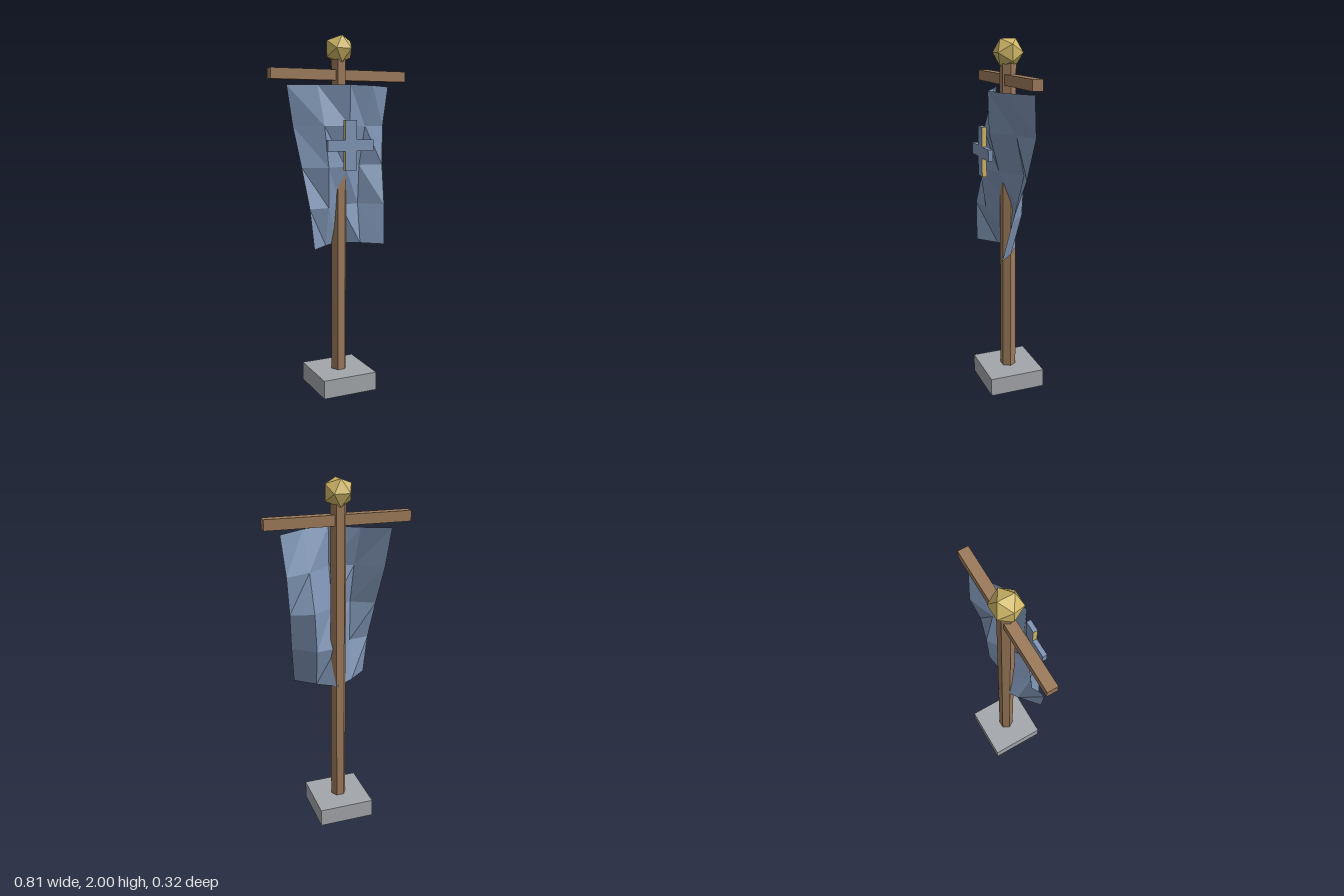
import * as THREE from 'three';

const mat = (name, color, side = THREE.FrontSide) => {
  const m = new THREE.MeshStandardMaterial({ color, side });
  m.name = name;
  return m;
};

// Rippling cloth: a tapered 4 x 4 sheet folded by a diagonal wave
function clothGeometry() {
  const N = 4, top = 1.732, height = 0.888, middle = 0.015;
  const geo = new THREE.PlaneGeometry(1, 1, N, N).rotateY(Math.PI);
  const p = geo.attributes.position;
  for (let i = 0; i < p.count; i++) {
    const u = p.getX(i);            // -0.5 .. 0.5 across
    const v = 0.5 - p.getY(i);      // 0 at the top, 1 at the bottom
    const width = 0.614 - 0.184 * v;
    const phase = THREE.MathUtils.degToRad(-90 + 80 * (u + 0.5) * N + 50 * v * N);
    p.setXYZ(i, middle + u * width, top - v * height, 0.042 + 0.084 * Math.sin(phase));
  }
  const flat = geo.toNonIndexed();
  flat.computeVertexNormals();
  return flat;
}

export function createModel() {
  const stone = mat('stone', 0xa3a6aa);
  const wood = mat('wood', 0x9c7a5a);
  const gold = mat('gold', 0xd0b868);
  const blue = mat('blue cloth', 0x7f95b5, THREE.DoubleSide);

  const model = new THREE.Group();
  model.name = 'bannerStand';
  const add = (name, geo, material, x, y, z) => {
    const mesh = new THREE.Mesh(geo, material);
    mesh.name = name;
    mesh.position.set(x, y, z);
    model.add(mesh);
    return mesh;
  };

  // Foot and hexagonal pole
  add('base', new THREE.BoxGeometry(0.325, 0.105, 0.325), stone, 0, 0.0525, 0);
  const poleGeo = new THREE.CylinderGeometry(0.045, 0.045, 1.878, 6).rotateY(Math.PI / 6).toNonIndexed();
  poleGeo.computeVertexNormals();
  add('pole', poleGeo, wood, 0, 0.941, 0);

  // Crossbar and finial
  add('crossbar', new THREE.BoxGeometry(0.812, 0.058, 0.058), wood, 0, 1.787, 0);
  add('finial', new THREE.IcosahedronGeometry(0.0843, 0).rotateY(Math.PI / 2), gold, 0, 1.928, 0);

  // Hanging cloth
  add('cloth', clothGeometry(), blue, 0, 0, 0);

  // Emblem cross in front of the cloth; the upright has gold sides
  add('emblemUpright', new THREE.BoxGeometry(0.067, 0.271, 0.026),
    [gold, gold, blue, blue, blue, blue], 0, 1.408, 0.149);
  for (const s of [-1, 1]) {
    add(s > 0 ? 'emblemArmLeft' : 'emblemArmRight',
      new THREE.BoxGeometry(0.102, 0.062, 0.026), blue, s * 0.0845, 1.407, 0.149);
  }
  return model;
}
